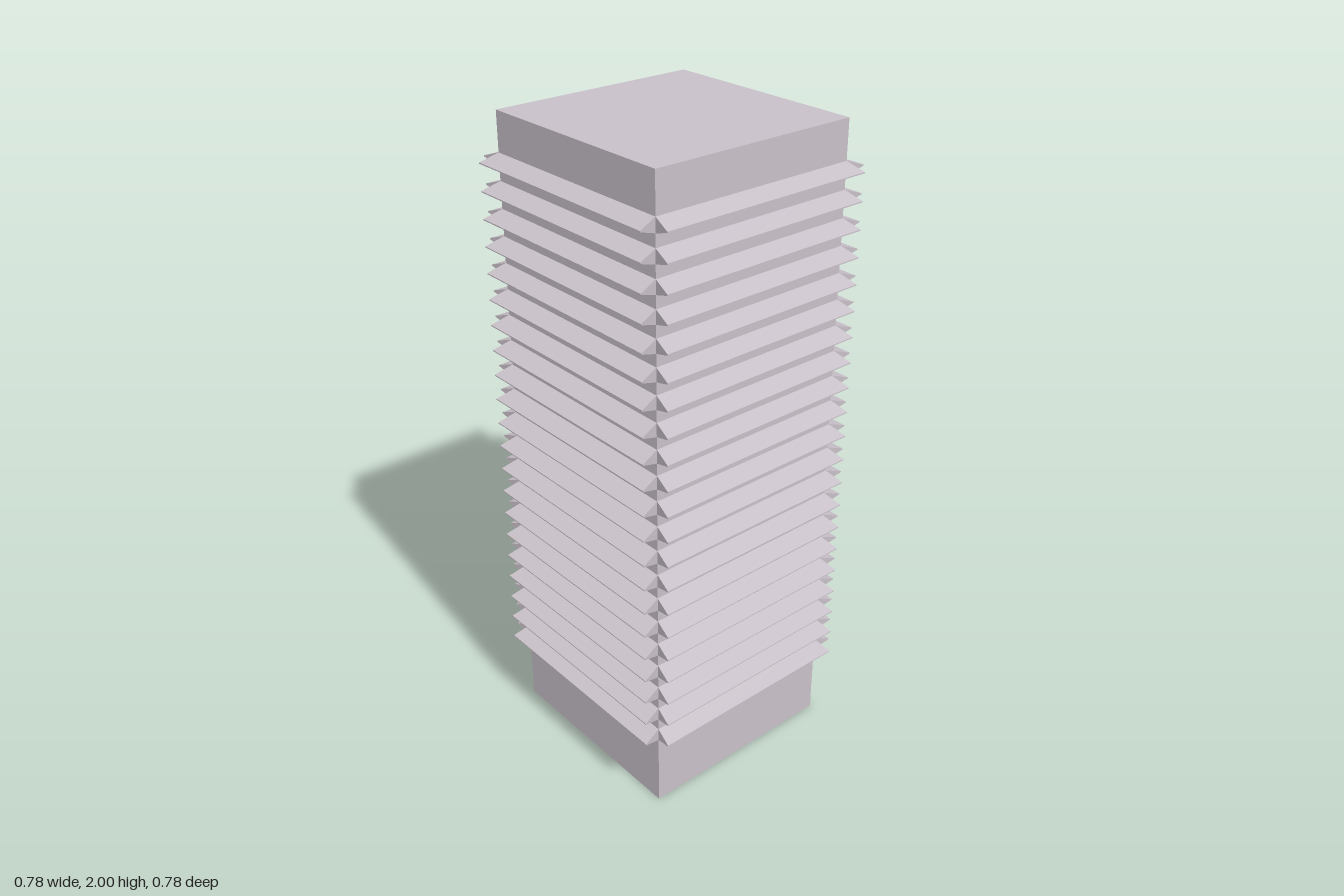
import * as THREE from 'three';

const HALF = 0.332;      // half width of the square column
const TIP = 0.389;       // distance of the fin tip from the axis
const TIP_HALF = 0.343;  // half length of the fin along its tip
const FINS = 21, FIRST_Y = 0.26, LAST_Y = 1.862;

// Wedge fin on the +z side: tall at the column, thin and slightly longer at the tip
function finGeometry() {
  const depth = TIP - HALF;
  const geo = new THREE.BoxGeometry(2 * HALF, 0.042, depth);
  const p = geo.attributes.position;
  for (let i = 0; i < p.count; i++) {
    if (p.getZ(i) > 0) {
      p.setX(i, Math.sign(p.getX(i)) * TIP_HALF);
      p.setY(i, p.getY(i) * 0.08);
    }
  }
  geo.translate(0, 0, HALF + depth / 2);
  geo.computeVertexNormals();
  return geo;
}

export function createModel() {
  const group = new THREE.Group();
  group.name = 'finnedTower';
  const material = new THREE.MeshStandardMaterial({ color: 0xc8c0c8, flatShading: true });

  // Square column
  const column = new THREE.Mesh(new THREE.BoxGeometry(2 * HALF, 2, 2 * HALF), material);
  column.name = 'column';
  column.position.y = 1;
  group.add(column);

  // Floors of fins, one on each side
  const geo = finGeometry();
  for (let i = 0; i < FINS; i++) {
    const floor = new THREE.Group();
    floor.name = `finRing${i + 1}`;
    floor.position.y = THREE.MathUtils.lerp(FIRST_Y, LAST_Y, i / (FINS - 1));
    ['front', 'left', 'back', 'right'].forEach((side, k) => {
      const fin = new THREE.Mesh(geo, material);
      fin.name = `${side}Fin`;
      fin.rotation.y = k * Math.PI / 2;
      floor.add(fin);
    });
    group.add(floor);
  }
  return group;
}
